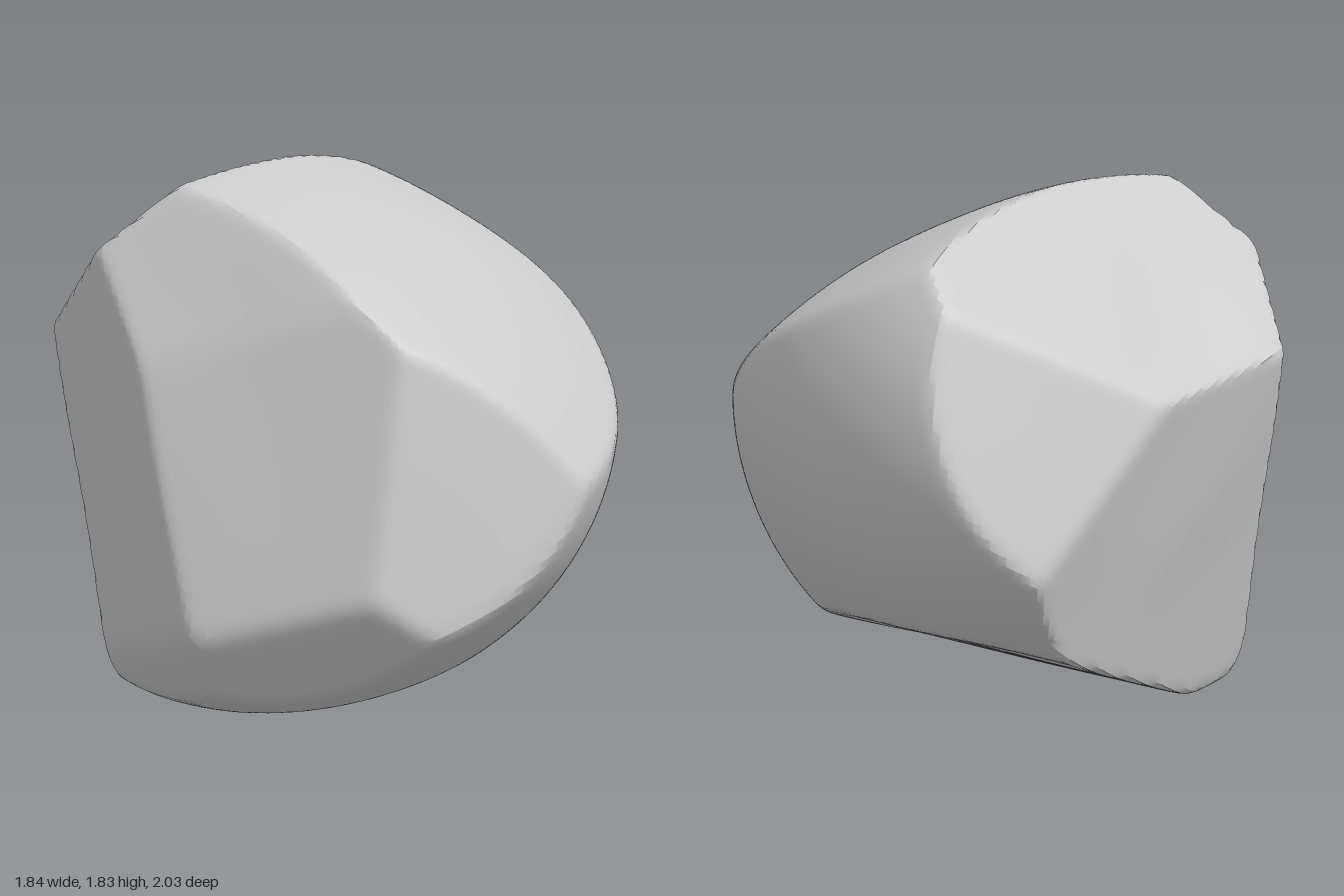
import * as THREE from 'three';
import { toCreasedNormals } from 'three/addons/utils/BufferGeometryUtils.js';

// Flat cuts of the stone: outward normal and distance from the origin
const cuts = [
  { n: [-0.42, 0.705, -0.57], d: 1.42 },    // upper back left
  { n: [-0.27, 0.25, -0.93], d: 1.07 },     // back
  { n: [-0.70, -0.253, -0.667], d: 0.503 }, // lower back left
  { n: [-0.96, -0.04, 0.18], d: 0.785 },    // left side
  { n: [-0.85, -0.45, 0.25], d: 0.63 },     // left side, foot
  { n: [-0.54, 0.212, 0.813], d: 0.995 },   // front left
  { n: [-0.55, 0.45, 0.70], d: 1.25 },      // front left, shoulder
  { n: [-0.35, -0.45, 0.82], d: 0.68 },     // front left, foot
  { n: [0.03, 0.15, 0.99], d: 1.07 },       // front
  { n: [0.25, -0.95, -0.17], d: -0.16 },    // underside
].map(({ n, d }) => ({ n: new THREE.Vector3(...n), d }));

// Domed sides: parts of large ellipsoids, given by centre and radii
const domes = [
  { c: [-0.56, -0.25, -0.47], r: [2.14, 2.14, 2.14] }, // upper right slope
  { c: [-0.25, 1.05, 0.15], r: [1.18, 1.09, 1.30] },   // right flank and belly
].map(({ c, r }) => ({ c: new THREE.Vector3(...c), r: new THREE.Vector3(...r) }));

const core = new THREE.Vector3(-0.05, 0.9, 0);
const SHARPNESS = 100;

// Distance from the core to the surface: a soft minimum over cuts and domes
function reach(dir) {
  const hits = [];
  for (const { n, d } of cuts) {
    const slope = n.dot(dir);
    if (slope > 1e-4) hits.push((d - n.dot(core)) / slope);
  }
  for (const { c, r } of domes) {
    const o = core.clone().sub(c).divide(r);
    const v = dir.clone().divide(r);
    const a = v.lengthSq(), b = o.dot(v);
    hits.push((-b + Math.sqrt(b * b - a * (o.lengthSq() - 1))) / a);
  }
  const least = Math.min(...hits);
  const sum = hits.reduce((s, t) => s + Math.pow(least / t, SHARPNESS), 0);
  return least * Math.pow(sum, -1 / SHARPNESS);
}

// Very shallow unevenness of the worn faces
function wear(p) {
  return 0.004 * (Math.sin(5 * p.x + 3 * p.y) + Math.sin(6 * p.z - 4 * p.y + 1) * Math.cos(4 * p.x));
}

export function createModel() {
  const geometry = new THREE.IcosahedronGeometry(1, 40);
  const pos = geometry.attributes.position;
  const dir = new THREE.Vector3();
  for (let i = 0; i < pos.count; i++) {
    dir.fromBufferAttribute(pos, i).normalize();
    const t = reach(dir) + wear(dir);
    pos.setXYZ(i, core.x + dir.x * t, core.y + dir.y * t, core.z + dir.z * t);
  }

  const rock = new THREE.Mesh(
    toCreasedNormals(geometry, 0.4),
    new THREE.MeshStandardMaterial({ color: 0xcccccc }),
  );
  rock.name = 'rock';
  const group = new THREE.Group();
  group.name = 'boulder';
  group.add(rock);
  return group;
}
